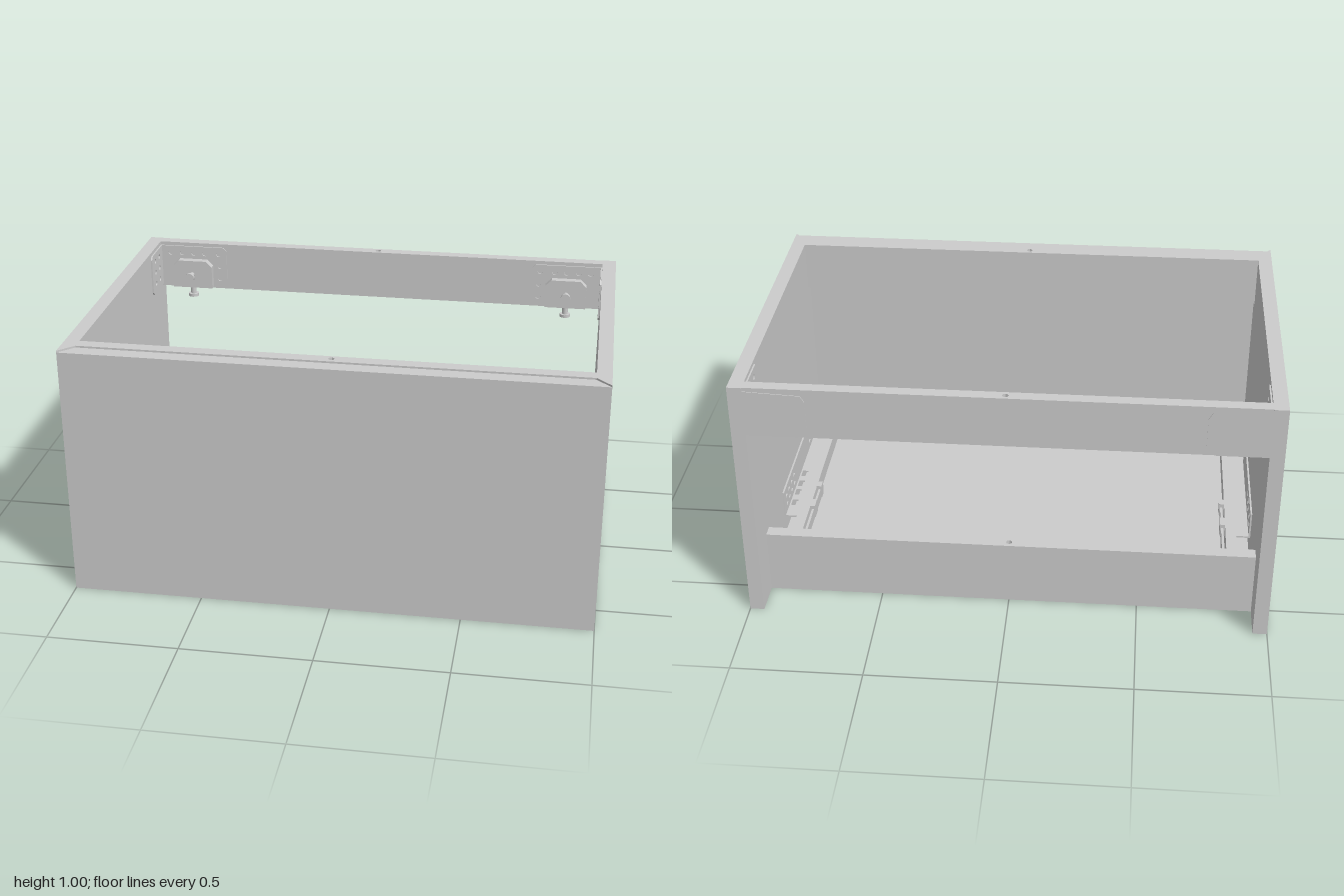
import * as THREE from 'three';

const material = new THREE.MeshStandardMaterial({ color: 0xcccccc });

export function createModel() {
  const model = new THREE.Group();

  const add = (name, geometry) => {
    const mesh = new THREE.Mesh(geometry, material);
    mesh.name = name;
    model.add(mesh);
    return mesh;
  };

  // Box from its two corner ranges
  const box = (name, x0, x1, y0, y1, z0, z1) => {
    const g = new THREE.BoxGeometry(Math.abs(x1 - x0), y1 - y0, z1 - z0);
    g.translate((x0 + x1) / 2, (y0 + y1) / 2, (z0 + z1) / 2);
    return add(name, g);
  };

  const rect = (x0, x1, y0, y1) => [[x0, y0], [x1, y0], [x1, y1], [x0, y1]];
  const round = (x, y, r, n = 10) => Array.from({ length: n }, (_, i) => {
    const a = i / n * Math.PI * 2;
    return [x + r * Math.cos(a), y + r * Math.sin(a)];
  });

  // Extruded outline with holes
  const extrude = (pts, depth, holes = []) => {
    const v = list => list.map(p => new THREE.Vector2(p[0], p[1]));
    const shape = new THREE.Shape(v(pts));
    holes.forEach(h => shape.holes.push(new THREE.Path(v(h))));
    return new THREE.ExtrudeGeometry(shape, { depth, bevelEnabled: false });
  };
  // Outline in x,z raised from y0 to y1
  const slab = (name, pts, y0, y1, holes) =>
    add(name, extrude(pts, y1 - y0, holes).rotateX(Math.PI / 2).translate(0, y1, 0));
  // Outline in z,y, thickness running from x0 to x1
  const sidePlate = (name, pts, x0, x1, holes) =>
    add(name, extrude(pts, Math.abs(x1 - x0), holes)
      .rotateY(-Math.PI / 2).translate(Math.max(x0, x1), 0, 0));
  // Outline in x,y, thickness running from z0 to z1
  const backPlate = (name, pts, z0, z1, holes) =>
    add(name, extrude(pts, z1 - z0, holes).translate(0, 0, z0));

  const rod = (name, r, length, x, y, z, alongZ = false) => {
    const g = new THREE.CylinderGeometry(r, r, length, 12);
    if (alongZ) g.rotateX(Math.PI / 2);
    return add(name, g.translate(x, y, z));
  };

  // Cabinet carcass, with mitred front corners
  slab('frontPanel', [[-1, 0.645], [1, 0.645], [0.945, 0.588], [-0.945, 0.588]], 0, 0.993);
  slab('frontRail', rect(-0.945, 0.945, 0.54, 0.588), 0.8, 1, [round(0, 0.563, 0.012, 8)]);
  slab('backRail', rect(-0.945, 0.945, -0.642, -0.597), 0.8, 1, [round(0, -0.62, 0.012, 8)]);
  slab('lowerBackPanel', rect(-0.945, 0.945, -0.51, -0.46), 0, 0.26, [round(0, -0.485, 0.012, 8)]);
  box('bottomPanel', -0.945, 0.945, 0, 0.055, -0.46, 0.588);

  for (const s of [-1, 1]) {
    slab('sidePanel', [[s * 0.945, -0.645], [s, -0.645], [s, 0.645], [s * 0.945, 0.588]], 0, 1);

    // Drawer runner: slotted angle, main rail and slim inner rail
    const slots = [];
    for (const z of [-0.115, -0.04, 0.025, 0.1])
      slots.push(rect(s * 0.908, s * 0.932, z - 0.02, z + 0.02));
    slab('runnerFlange', rect(s * 0.885, s * 0.945, -0.21, 0.535), 0.135, 0.142, slots);
    const sideSlots = [];
    for (const start of [-0.18, 0.3])
      for (let i = 0; i < 4; i++)
        for (const y of [0.175, 0.215])
          sideSlots.push(rect(start + i * 0.05, start + i * 0.05 + 0.03, y - 0.007, y + 0.007));
    sidePlate('runnerWallPlate', rect(-0.21, 0.535, 0.135, 0.25), s * 0.938, s * 0.945, sideSlots);
    slab('runnerRail', rect(s * 0.845, s * 0.887, -0.45, 0.535), 0.095, 0.16,
      [rect(s * 0.856, s * 0.874, -0.425, -0.395)]);
    box('runnerInnerRail', s * 0.829, s * 0.838, 0.105, 0.15, -0.415, 0.03);
    box('runnerCatch', s * 0.825, s * 0.845, 0.11, 0.165, -0.17, -0.12);
    box('runnerCatch', s * 0.825, s * 0.845, 0.11, 0.165, -0.025, 0.01);

    // Wall hanger: perforated angle plate in the corner
    const backHoles = [];
    for (const x of [0.90, 0.85, 0.80, 0.75, 0.69]) backHoles.push(round(s * x, 0.955, 0.011));
    for (const y of [0.90, 0.845]) backHoles.push(round(s * 0.685, y, 0.011));
    backPlate('hangerBackPlate',
      [[s * 0.945, 0.81], [s * 0.67, 0.81], [s * 0.655, 0.825], [s * 0.655, 0.97],
        [s * 0.67, 0.985], [s * 0.945, 0.985]], -0.597, -0.591, backHoles);
    const sideHoles = [];
    for (const z of [-0.54, -0.48])
      for (const y of [0.85, 0.9, 0.95]) sideHoles.push(round(z, y, 0.011));
    sidePlate('hangerSidePlate',
      [[-0.591, 0.81], [-0.445, 0.81], [-0.43, 0.825], [-0.43, 0.97], [-0.445, 0.985],
        [-0.591, 0.985]], s * 0.939, s * 0.945, sideHoles);

    // Hanger housing with its adjusting screws
    backPlate('hangerHousing',
      [[s * 0.885, 0.81], [s * 0.715, 0.81], [s * 0.715, 0.905], [s * 0.74, 0.93],
        [s * 0.86, 0.93], [s * 0.885, 0.905]], -0.591, -0.56);
    rod('depthScrew', 0.01, 0.05, s * 0.802, 0.87, -0.54, true);
    rod('depthScrewHead', 0.02, 0.014, s * 0.802, 0.87, -0.517, true);
    rod('heightScrew', 0.012, 0.04, s * 0.802, 0.795, -0.575);
    rod('heightScrewHead', 0.022, 0.012, s * 0.802, 0.775, -0.575);

    // Cover plate on the rear, rounded at its lower inner corner
    backPlate('hangerCover',
      [[s * 0.945, 0.8], [s * 0.755, 0.8], [s * 0.73, 0.81], [s * 0.72, 0.835],
        [s * 0.72, 0.95], [s * 0.735, 0.975], [s * 0.945, 0.985]], -0.645, -0.642);
  }

  return model;
}
